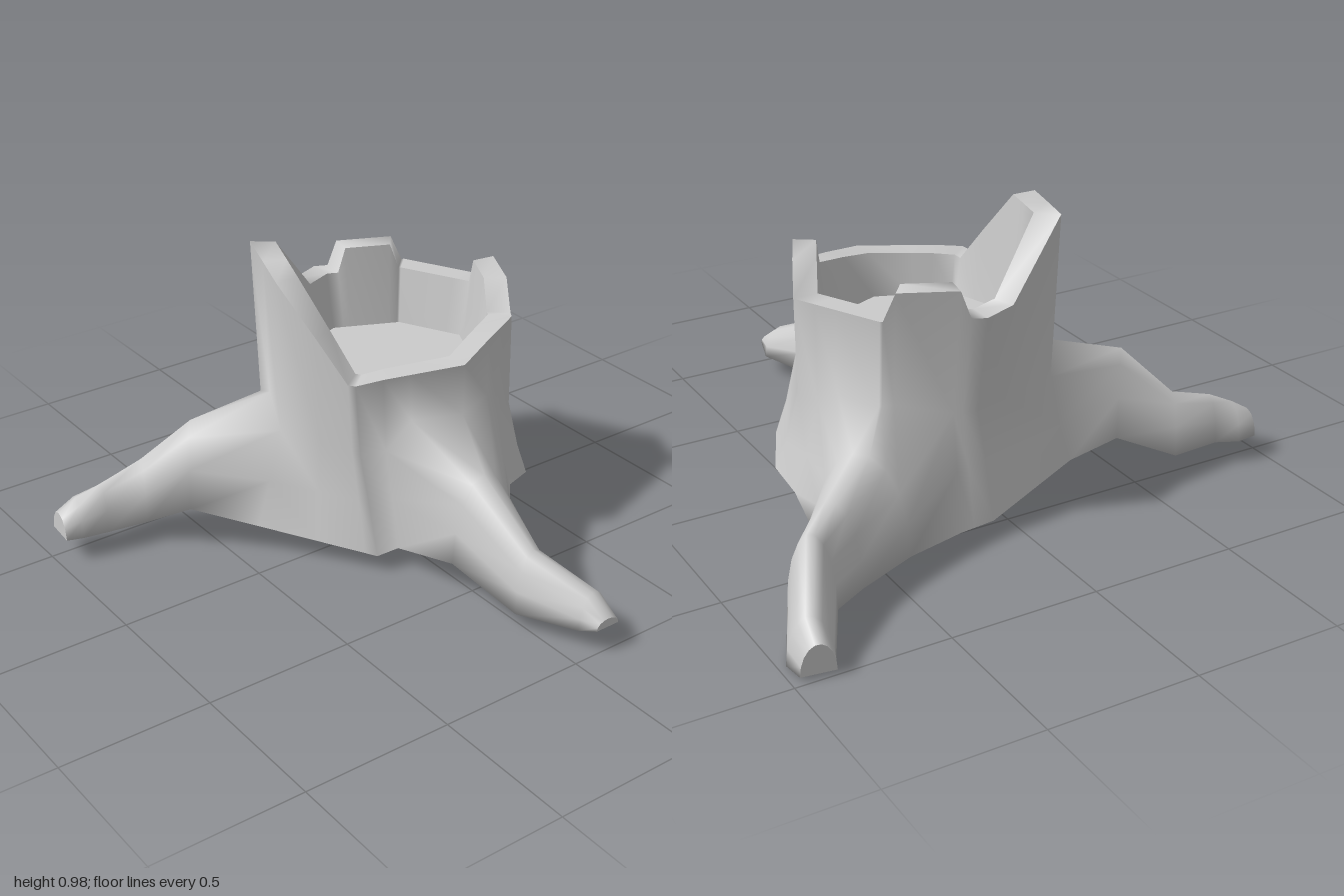
import * as THREE from 'three';
import { mergeGeometries, mergeVertices } from 'three/addons/utils/BufferGeometryUtils.js';

const material = new THREE.MeshStandardMaterial({ color: 0xcccccc, side: THREE.DoubleSide });

// Skin a list of rings (arrays of Vector3); cells for which isHole(row, column) holds stay open
function skin(rings, closed, isHole = () => false) {
  const n = rings[0].length, index = [];
  const span = closed ? n : n - 1;
  for (let i = 0; i < rings.length - 1; i++) {
    for (let j = 0; j < span; j++) {
      if (isHole(i, j)) continue;
      const k = (j + 1) % n;
      const a = i * n + j, b = i * n + k, c = a + n, d = b + n;
      index.push(a, b, c, b, d, c);
    }
  }
  const geometry = new THREE.BufferGeometry().setFromPoints(rings.flat());
  geometry.setIndex(index);
  return geometry;
}

function part(name, geometry) {
  geometry.computeVertexNormals();
  const mesh = new THREE.Mesh(geometry, material);
  mesh.name = name;
  return mesh;
}

const CENTER = new THREE.Vector3(-0.13, 0, -0.12);

// Octagon corners of the trunk's top and waist (x, z) and its flared foot (x, y, z), from +x towards +z
const TOP = [[0.29, -0.12], [0.165, 0.22], [-0.13, 0.315], [-0.42, 0.225],
  [-0.555, -0.12], [-0.42, -0.415], [-0.13, -0.56], [0.17, -0.415]];
const WAIST = [[0.285, -0.12], [0.16, 0.2], [-0.13, 0.315], [-0.41, 0.21],
  [-0.505, -0.12], [-0.42, -0.42], [-0.13, -0.555], [0.165, -0.42]];
const FOOT = [[0.28, 0.1, -0.12], [0.225, 0.06, 0.18], [-0.11, 0.1, 0.425], [-0.45, 0.12, 0.27],
  [-0.575, 0.06, -0.1], [-0.65, 0.07, -0.62], [-0.07, 0.15, -0.615], [0.19, 0.135, -0.49]];

// Broken rim: position along the octagon, height
const RIM = [[0, 0.7], [0.5, 0.69], [0.75, 0.685], [1, 0.675], [1.1, 0.67], [1.5, 0.797], [2, 0.95],
  [2.5, 0.963], [3, 0.975], [3.65, 0.75], [4, 0.75], [4.15, 0.75], [4.25, 0.84], [4.85, 0.84],
  [4.97, 0.75], [5, 0.75], [5.5, 0.75], [5.75, 0.75], [6, 0.75], [6.2, 0.85], [6.75, 0.85],
  [6.95, 0.75], [7, 0.745], [7.25, 0.735], [7.5, 0.725]];

// Roots: mouth on the trunk (from, to, top), then stations of [x, z, half width, bottom, top]
const ROOTS = [
  { from: 7.25, to: 0.75, top: 0.52, stations: [[0.49, -0.045, 0.125, 0.13, 0.415],
    [0.73, -0.05, 0.08, 0.055, 0.255], [0.92, -0.13, 0.075, 0.065, 0.165], [0.995, -0.13, 0.045, 0.08, 0.11]] },
  { from: 2, to: 3, top: 0.49, stations: [[-0.355, 0.525, 0.11, 0.15, 0.43],
    [-0.46, 0.665, 0.08, 0.08, 0.28], [-0.465, 0.82, 0.06, 0.08, 0.235],
    [-0.49, 0.9, 0.07, 0.08, 0.2], [-0.495, 0.965, 0.055, 0.08, 0.16]] },
  { from: 4.25, to: 5.75, top: 0.47, stations: [[-0.51, -0.53, 0.16, 0.06, 0.38],
    [-0.64, -0.7, 0.1, 0.055, 0.325], [-0.73, -0.81, 0.075, 0.05, 0.295],
    [-0.92, -0.91, 0.07, 0, 0.16], [-0.99, -0.92, 0.055, 0.015, 0.11]] },
];

// Linear lookup around a closed list of corners
function around(list, u) {
  const i = Math.floor(u), t = u - i;
  const p = list[i % 8], q = list[(i + 1) % 8];
  return p.map((v, k) => v + (q[k] - v) * t);
}

// Point on an octagon shrunk towards the trunk's axis
function trunkPoint(corners, u, y, scale = 1) {
  const [x, z] = around(corners, u);
  return new THREE.Vector3(CENTER.x + (x - CENTER.x) * scale, y, CENTER.z + (z - CENTER.z) * scale);
}

const ring = (f) => RIM.map(([u, y]) => f(u, y));

// Column numbers spanned by a root mouth, wrapping past the start
function mouthColumns({ from, to }) {
  const columns = [];
  for (let j = RIM.findIndex(([u]) => u === from); ; j = (j + 1) % RIM.length) {
    columns.push(j);
    if (RIM[j][0] === to) return columns;
  }
}

// Arched sections along a root, with as many points as its mouth
function rootRings(stations, count) {
  return stations.map(([x, z, w, low, high], i) => {
    const a = stations[Math.max(i - 1, 0)], b = stations[Math.min(i + 1, stations.length - 1)];
    const along = new THREE.Vector2(b[0] - a[0], b[1] - a[1]).normalize();
    return Array.from({ length: count }, (_, k) => {
      const angle = Math.PI * k / (count - 1);
      const s = -Math.cos(angle) * w, h = Math.sin(angle);
      return new THREE.Vector3(x - along.y * s, low + (high - low) * h, z + along.x * s);
    });
  });
}

function createHollow() {
  const hollow = new THREE.Group();
  hollow.name = 'hollow';
  const floorY = 0.555;
  const outer = ring((u, y) => trunkPoint(TOP, u, y));
  const inner = ring((u, y) => trunkPoint(TOP, u, y, 0.81));
  const floor = ring((u) => trunkPoint(TOP, u, floorY, 0.725));
  const middle = ring(() => new THREE.Vector3(CENTER.x, floorY, CENTER.z));
  hollow.add(
    part('hollowFloor', skin([middle, floor], true)),
    part('hollowWall', skin([floor, inner], true)),
    part('brokenRim', skin([inner, outer], true)));
  return hollow;
}

// Trunk and roots as one welded skin, open underneath the trunk
function createBark() {
  const bark = new THREE.Group();
  bark.name = 'trunkAndRoots';
  const mouths = ROOTS.map(mouthColumns);
  const outer = ring((u, y) => trunkPoint(TOP, u, y));
  const waist = ring((u) => trunkPoint(WAIST, u, 0.42));
  mouths.forEach((columns, r) => columns.slice(1, -1).forEach((j) => { waist[j].y = ROOTS[r].top; }));
  const foot = ring((u) => new THREE.Vector3(...around(FOOT, u)));
  const flare = waist.map((p, j) => {
    const q = p.clone().lerp(foot[j], 0.5);
    q.y = 0.25;
    return q;
  });
  const isMouth = (row, j) => row > 0 && mouths.some((columns) => columns.slice(0, -1).includes(j));
  const skins = [skin([outer, waist, flare, foot], true, isMouth)];

  ROOTS.forEach(({ stations }, r) => {
    const columns = mouths[r], first = columns[0], last = columns[columns.length - 1];
    const mouth = [foot[first], flare[first], ...columns.map((j) => waist[j]), flare[last], foot[last]];
    const rings = rootRings(stations, mouth.length);
    const underside = rings.map((p) => [p[p.length - 1], p[0]]);
    skins.push(skin([mouth, ...rings], false), skin(underside, false));

    const tip = rings[rings.length - 1];
    const [x, z, , low, high] = stations[stations.length - 1];
    const tipCenter = tip.map(() => new THREE.Vector3(x, (low + high) / 2, z));
    bark.add(part('rootTip', skin([tip, tipCenter], true)));
  });
  bark.add(part('bark', mergeVertices(mergeGeometries(skins), 1e-4)));
  return bark;
}

export function createModel() {
  const model = new THREE.Group();
  model.name = 'treeStump';
  model.add(createHollow(), createBark());
  return model;
}
